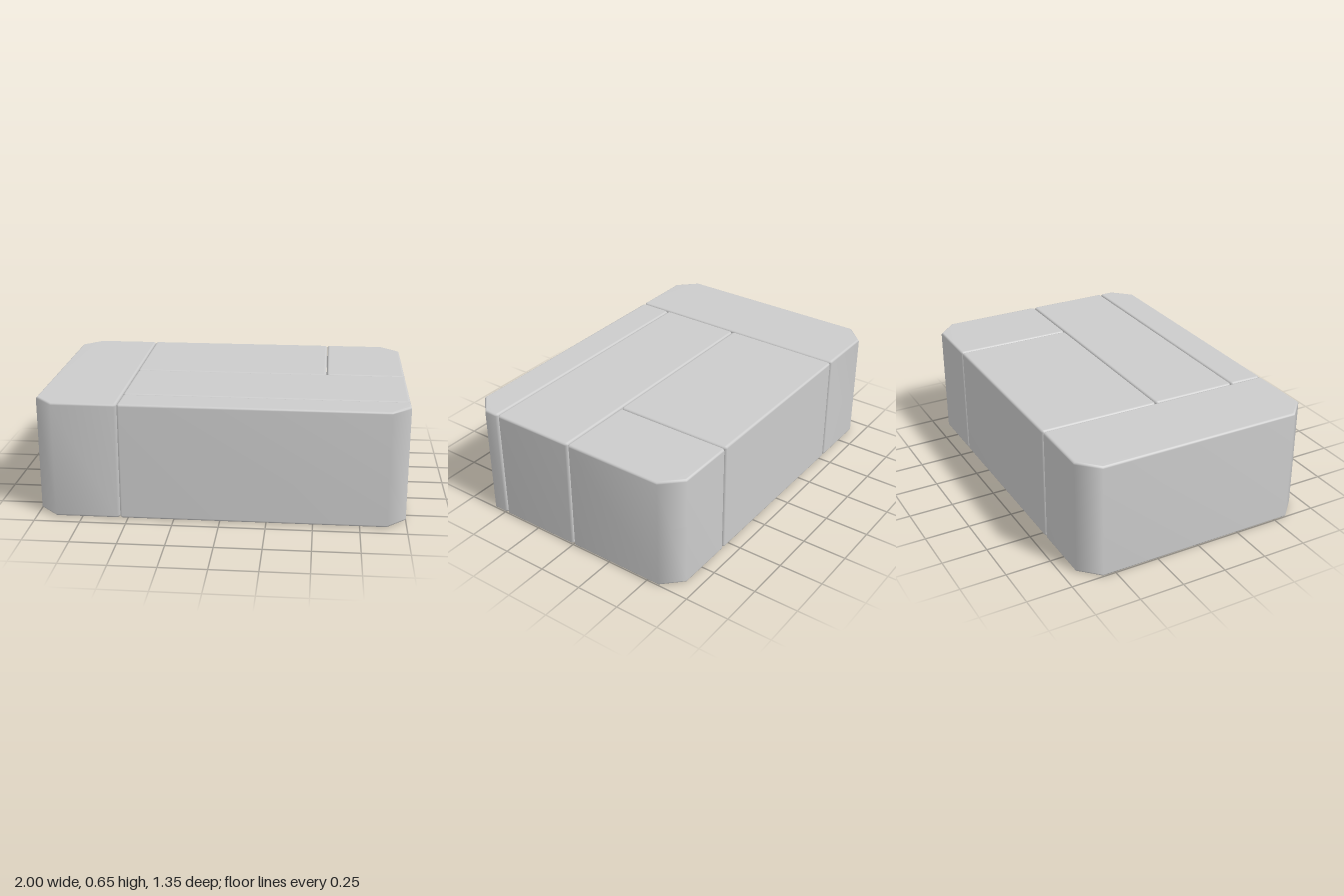
import * as THREE from 'three';
import { mergeVertices } from 'three/addons/utils/BufferGeometryUtils.js';

const HEIGHT = 0.645;
const BEVEL = 0.012;
const CHAMFER = 0.105;

// Upright block over a rectangle in plan, with clipped corners and softened edges.
// wide lists the corners with a large chamfer, such as 'back-left' seen from above.
function block(name, x0, x1, z0, z1, wide, material) {
  const corners = [
    ['front-left', x0, z1, 1, -1],
    ['front-right', x1, z1, -1, -1],
    ['back-right', x1, z0, -1, 1],
    ['back-left', x0, z0, 1, 1],
  ];
  const points = [];
  corners.forEach(([key, x, z, dx, dz], i) => {
    const c = wide.includes(key) ? CHAMFER : BEVEL;
    const alongX = new THREE.Vector2(x + dx * c, -z);
    const alongZ = new THREE.Vector2(x, -(z + dz * c));
    points.push(...(i % 2 === 0 ? [alongZ, alongX] : [alongX, alongZ]));
  });
  let geometry = new THREE.ExtrudeGeometry(new THREE.Shape(points), {
    depth: HEIGHT - 2 * BEVEL,
    bevelThickness: BEVEL,
    bevelSize: BEVEL,
    bevelOffset: -BEVEL,
    bevelSegments: 3,
  });
  // Stand it up and share vertices so that the shading is smooth
  geometry.rotateX(-Math.PI / 2);
  geometry.translate(0, BEVEL, 0);
  geometry.deleteAttribute('normal');
  geometry.deleteAttribute('uv');
  geometry = mergeVertices(geometry, 1e-4);
  geometry.computeVertexNormals();
  const mesh = new THREE.Mesh(geometry, material);
  mesh.name = name;
  return mesh;
}

export function createModel() {
  const group = new THREE.Group();
  group.name = 'interlockingBlocks';
  const material = new THREE.MeshStandardMaterial({ color: 0xcccccc });

  const parts = [
    ['endBlock', -1, -0.546, -0.677, 0.677, ['front-left', 'back-left']],
    ['backBlock', -0.543, 0.554, -0.677, -0.003, []],
    ['backCornerBlock', 0.557, 1, -0.677, -0.003, ['back-right']],
    ['middleBlock', -0.543, 1, 0, 0.484, []],
    ['frontBlock', -0.543, 1, 0.487, 0.677, ['front-right']],
  ];
  for (const part of parts) group.add(block(...part, material));
  return group;
}
